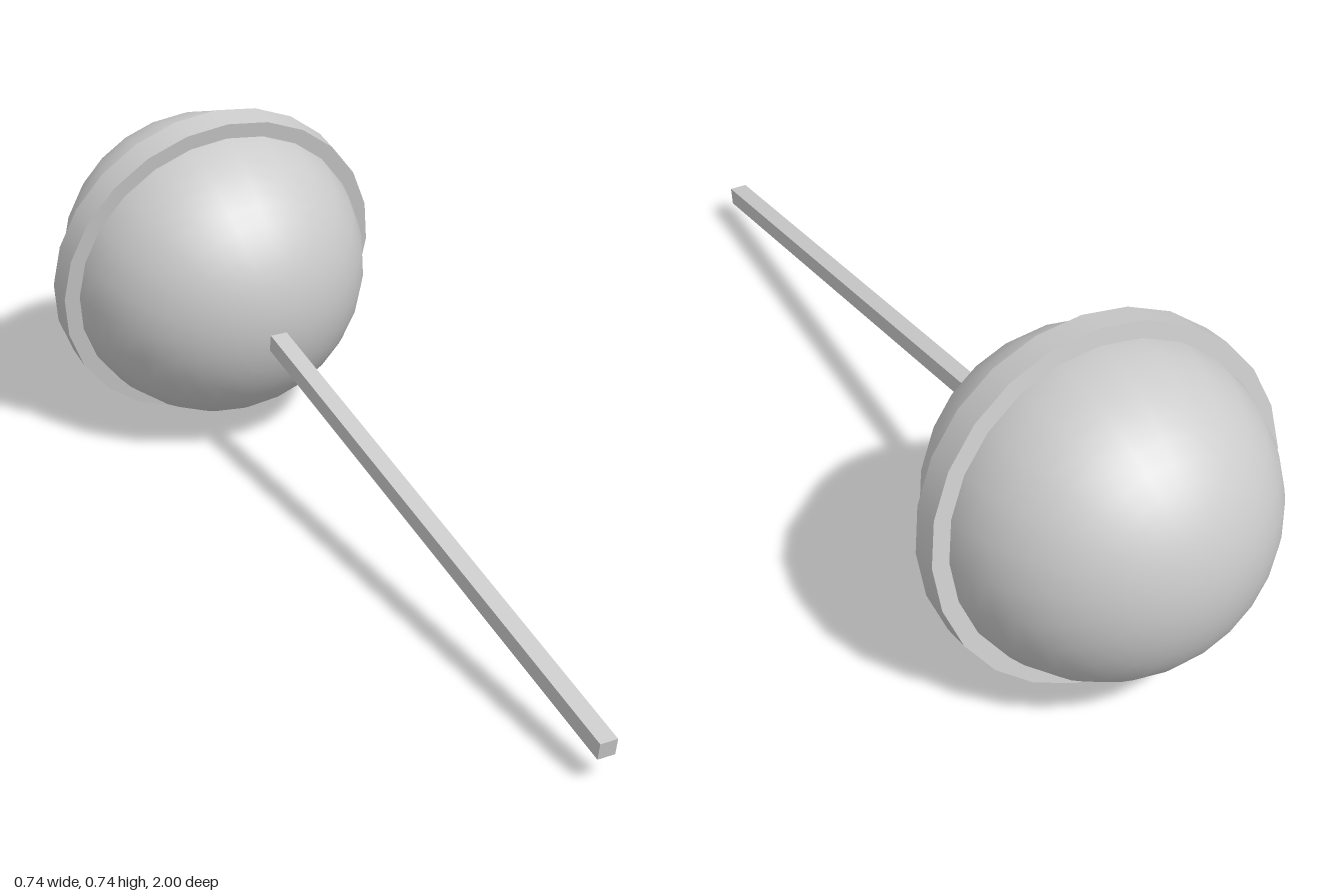
import * as THREE from 'three';

export function createModel() {
  const model = new THREE.Group();
  model.name = 'lollipop';
  const material = new THREE.MeshStandardMaterial({ color: 0xcccccc });

  // everything shares one axis (local z), tipped so the stick rests lower than the candy
  const tilted = new THREE.Group();
  tilted.name = 'tiltedLollipop';
  tilted.position.set(0, 0.37, -0.664);
  tilted.rotation.x = THREE.MathUtils.degToRad(10);
  model.add(tilted);

  const add = (name, geometry, z = 0) => {
    const mesh = new THREE.Mesh(geometry, material);
    mesh.name = name;
    mesh.position.z = z;
    tilted.add(mesh);
  };

  // ball, with its poles on the stick axis
  add('candyBall', new THREE.SphereGeometry(0.337, 24, 24).rotateX(Math.PI / 2));

  // flat raised band around the middle of the ball
  add('candyBand', new THREE.CylinderGeometry(0.37, 0.37, 0.064, 24).rotateX(Math.PI / 2));

  // square stick, rooted inside the ball
  const stickStart = 0.2, stickEnd = 1.686;
  add('stick', new THREE.BoxGeometry(0.0375, 0.0375, stickEnd - stickStart), (stickStart + stickEnd) / 2);

  return model;
}
